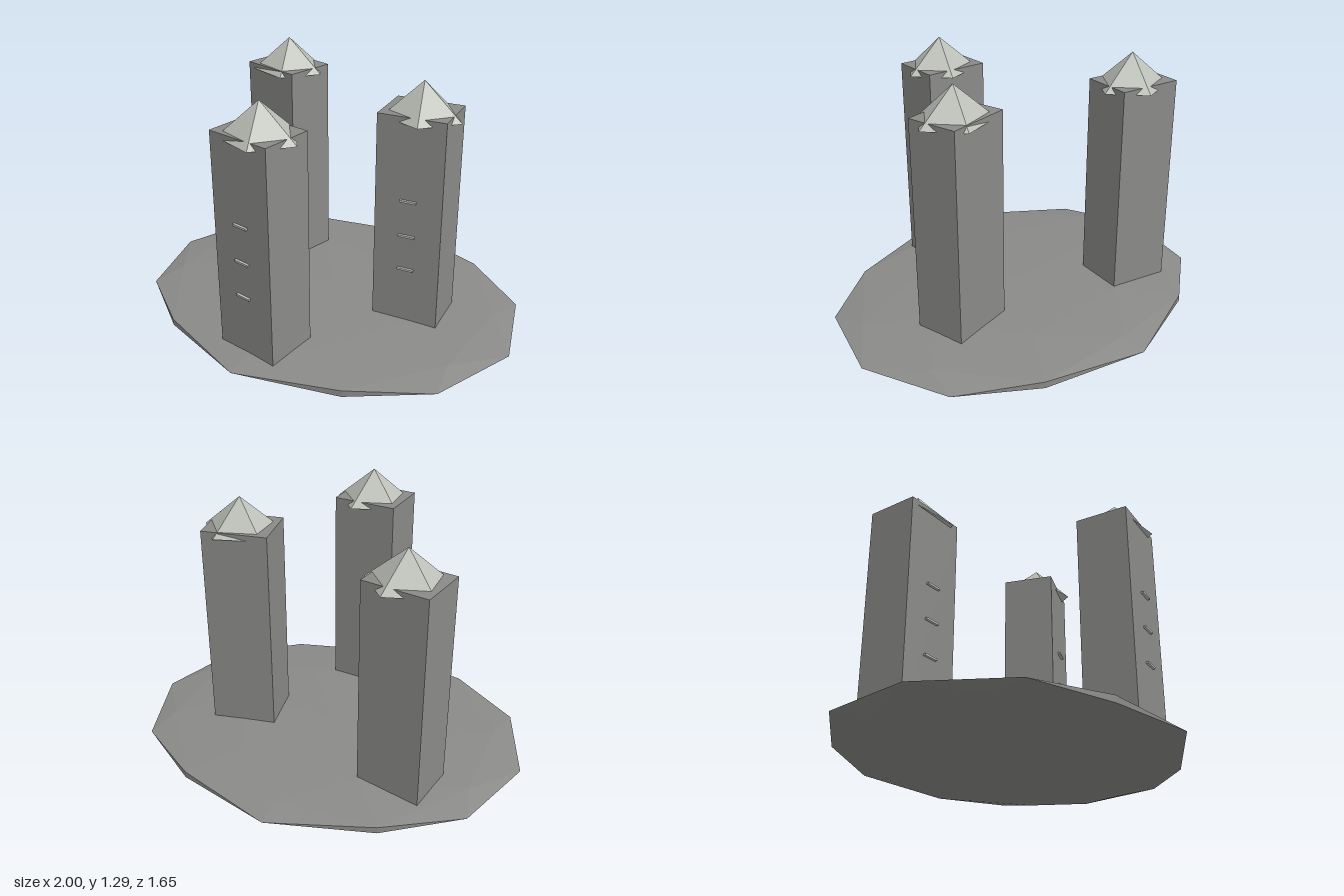
import * as THREE from 'three';

const stone = new THREE.MeshStandardMaterial({ color: 0x8a8a88, flatShading: true });
stone.name = 'stone grey';
const pale = new THREE.MeshStandardMaterial({ color: 0xbcc0b8, flatShading: true });
pale.name = 'pale grey';

const WIDTH = 0.33, DEPTH = 0.26, BOTTOM = 0.035, TOP = 1.15;

function addMesh(parent, name, geometry, material, x, y, z) {
  const mesh = new THREE.Mesh(geometry, material);
  mesh.name = name;
  mesh.position.set(x, y, z);
  parent.add(mesh);
  return mesh;
}

function createTower(x, z, turn) {
  const tower = new THREE.Group();
  tower.name = 'tower';
  tower.position.set(x, 0, z);

  // Turned shaft with three slit windows on its front
  const shaft = new THREE.Group();
  shaft.name = 'shaft';
  shaft.rotation.y = turn;
  tower.add(shaft);
  addMesh(shaft, 'wall', new THREE.BoxGeometry(WIDTH, TOP - BOTTOM, DEPTH), stone, 0, (TOP + BOTTOM) / 2, 0);
  for (const y of [0.385, 0.562, 0.742]) {
    addMesh(shaft, 'window', new THREE.BoxGeometry(0.08, 0.01, 0.02), pale, 0, y, DEPTH / 2 + 0.003);
  }

  // Five-sided roof, unturned, with one corner towards +x
  const roof = new THREE.ConeGeometry(1, 0.168, 5, 1, false, Math.PI / 2);
  roof.scale(0.196, 1, 0.176);
  addMesh(tower, 'roof', roof, pale, 0.011, 1.206, 0.003);
  return tower;
}

export function createModel() {
  const model = new THREE.Group();
  model.name = 'towers on an island';

  // Flattened faceted island
  const ground = new THREE.IcosahedronGeometry(1, 1);
  ground.scale(1, 0.053, 0.826);
  addMesh(model, 'island', ground, stone, 0, 0.056, 0);

  model.add(
    createTower(-0.482, -0.307, -0.19),
    createTower(-0.002, 0.556, -0.1),
    createTower(0.447, -0.064, 0.15),
  );
  return model;
}
